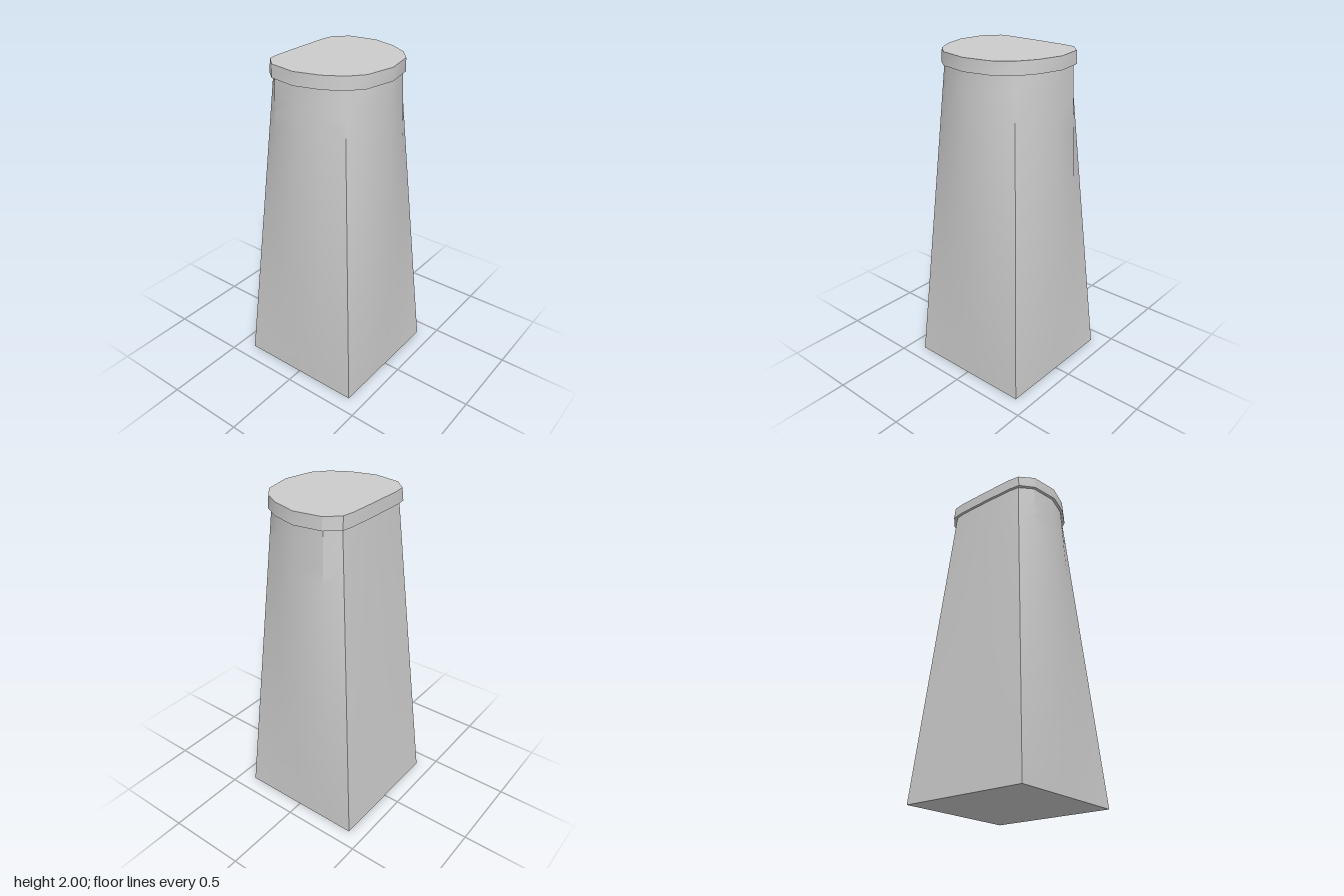
import * as THREE from 'three';
import { toCreasedNormals } from 'three/addons/utils/BufferGeometryUtils.js';

// Half outlines [x, z], running from front centre round the left side to back centre
const BASE = [[0, 0.4], [0.2, 0.4], [0.4, 0.4], [0.4, 0.2], [0.4, 0], [0.4, -0.2], [0.4, -0.4], [0.2, -0.4], [0, -0.4]];
const NECK = [[0, 0.355], [0.173, 0.318], [0.257, 0.25], [0.318, 0.145], [0.355, 0], [0.33, -0.163], [0.26, -0.235], [0.192, -0.244], [0, -0.246]];
const LID_BOTTOM = [[0, 0.369], [0.182, 0.332], [0.27, 0.262], [0.333, 0.151], [0.373, 0], [0.346, -0.17], [0.277, -0.25], [0.202, -0.26], [0, -0.262]];
const LID_TOP = [[0, 0.367], [0.18, 0.33], [0.266, 0.258], [0.329, 0.149], [0.37, 0], [0.342, -0.17], [0.27, -0.245], [0.2, -0.255], [0, -0.257]];

// Full closed outline from a half outline
function mirrored(half) {
  return [...half, ...half.slice(1, -1).reverse().map(([x, z]) => [-x, z])];
}

// Closed solid between two outlines, with evenly spaced rings
function loft(name, lowerHalf, upperHalf, y0, y1, rings) {
  const lower = mirrored(lowerHalf), upper = mirrored(upperHalf);
  const n = lower.length;
  const positions = [], index = [];
  for (let r = 0; r <= rings; r++) {
    const t = r / rings;
    for (let i = 0; i < n; i++) {
      positions.push(
        THREE.MathUtils.lerp(lower[i][0], upper[i][0], t),
        THREE.MathUtils.lerp(y0, y1, t),
        THREE.MathUtils.lerp(lower[i][1], upper[i][1], t));
    }
  }
  const bottom = positions.length / 3, top = bottom + 1;
  positions.push(0, y0, 0, 0, y1, 0);
  for (let i = 0; i < n; i++) {
    const j = (i + 1) % n;
    for (let r = 0; r < rings; r++) {
      const a = r * n + i, b = r * n + j;
      index.push(a, b, b + n, a, b + n, a + n);
    }
    index.push(bottom, j, i, top, rings * n + i, rings * n + j);
  }
  const geometry = new THREE.BufferGeometry();
  geometry.setAttribute('position', new THREE.Float32BufferAttribute(positions, 3));
  geometry.setIndex(index);
  const mesh = new THREE.Mesh(
    toCreasedNormals(geometry, 0.5),
    new THREE.MeshStandardMaterial({ color: 0xcccccc }));
  mesh.name = name;
  return mesh;
}

export function createModel() {
  const group = new THREE.Group();
  group.name = 'taperedPedestal';
  // Shaft changing from a square foot to a rounded neck
  group.add(loft('shaft', BASE, NECK, 0, 1.925, 20));
  // Slightly overhanging lid
  group.add(loft('lid', LID_BOTTOM, LID_TOP, 1.925, 2, 1));
  return group;
}
